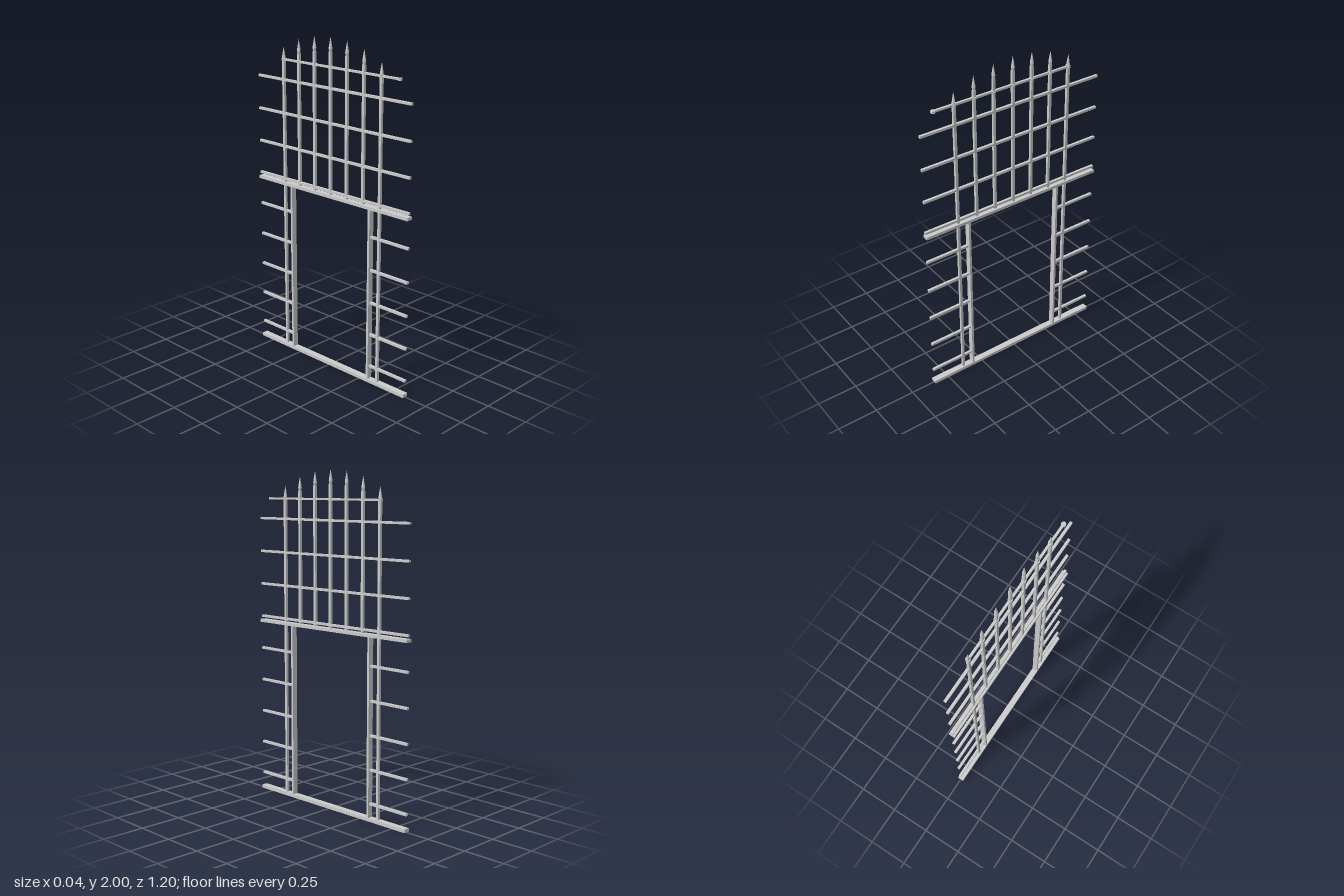
import * as THREE from 'three';

const material = new THREE.MeshStandardMaterial({ color: 0xcccccc, flatShading: true });

export function createModel() {
  const gate = new THREE.Group();
  gate.name = 'gateGrille';

  const add = (name, geometry, x, y, z) => {
    const mesh = new THREE.Mesh(geometry, material);
    mesh.name = name;
    mesh.position.set(x, y, z);
    gate.add(mesh);
    return mesh;
  };
  // Box given by its vertical and depth ranges
  const bar = (name, width, y0, y1, z0, z1) =>
    add(name, new THREE.BoxGeometry(width, y1 - y0, z1 - z0), 0, (y0 + y1) / 2, (z0 + z1) / 2);

  const half = 0.598;      // half length of the grille
  const thick = 0.016;     // thickness of the bars
  const spacing = 0.127;   // distance between uprights
  const jambZ = 0.314;
  const lintelTop = 1.087;

  // Doorway frame
  bar('sill', 0.038, 0, 0.02, -half, half);
  bar('lintel', 0.038, 1.069, lintelTop, -half, half);
  for (const s of [-1, 1]) {
    bar('doorJamb', 0.034, 0.02, 1.069, s * jambZ - 0.007, s * jambZ + 0.007);
  }

  // Horizontal rails, interrupted by the doorway
  for (let i = 0; i < 9; i++) {
    const y = 0.101 + i * 0.201;
    const y0 = y - 0.007, y1 = y + 0.007;
    if (y > lintelTop) {
      bar('crossRail', thick, y0, y1, -half, half);
    } else {
      bar('sideRail', thick, y0, y1, jambZ, half);
      bar('sideRail', thick, y0, y1, -half, -jambZ);
    }
  }

  // Uprights with spear points, following an arched top line
  const tips = [2, 1.99, 1.96, 1.905];
  const spearHeight = 0.085;
  const spearProfile = [[0, 0], [0.008, 0], [0.011, 0.018], [0.006, 0.05], [0, spearHeight]]
    .map(([r, y]) => new THREE.Vector2(r, y));
  const spear = new THREE.LatheGeometry(spearProfile, 8);
  for (let i = -3; i <= 3; i++) {
    const z = i * spacing;
    const base = tips[Math.abs(i)] - spearHeight;
    const foot = Math.abs(i) === 3 ? 0.02 : lintelTop;
    bar('upright', thick, foot, base, z - thick / 2, z + thick / 2);
    add('spearPoint', spear, 0, base, z);
  }

  // Upper rail with a round collar at each upright and one at its free end
  const railY = 1.829;
  bar('upperRail', 0.014, railY - 0.006, railY + 0.006, -3 * spacing, 4 * spacing);
  const collar = new THREE.CylinderGeometry(0.014, 0.014, 0.014, 12);
  for (let i = -3; i <= 4; i++) add('collar', collar, 0, railY, i * spacing);

  return gate;
}
